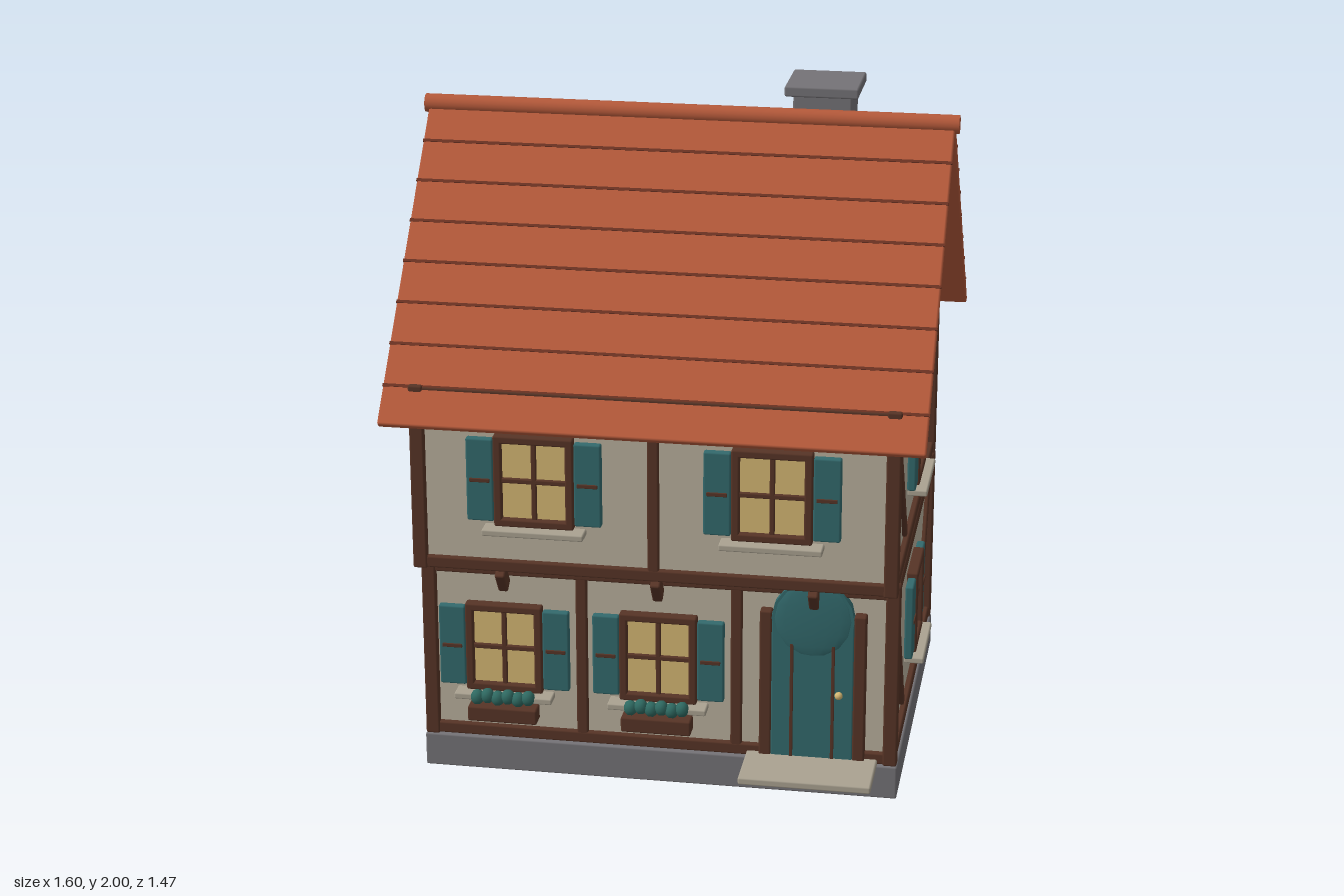
import * as THREE from 'three';
import { RoundedBoxGeometry } from 'three/addons/geometries/RoundedBoxGeometry.js';

const material = (name, color) => {
  const m = new THREE.MeshStandardMaterial({ color });
  m.name = name;
  return m;
};

export function createModel() {
  const plaster = material('plaster', 0xb9b09d);
  const timber = material('timber', 0x573426);
  const tile = material('roof tile', 0xb4593a);
  const groove = material('tile groove', 0x6b3222);
  const stone = material('stone', 0x757377);
  const paleStone = material('pale stone', 0xaaa291);
  const teal = material('teal paint', 0x336a6d);
  const glow = material('window glow', 0xd6b873);
  const leafGreen = material('leaf green', 0x2f6a62);

  const house = new THREE.Group();
  house.name = 'house';

  const add = (parent, name, geometry, mat, x = 0, y = 0, z = 0) => {
    const mesh = new THREE.Mesh(geometry, mat);
    mesh.name = name;
    mesh.position.set(x, y, z);
    parent.add(mesh);
    return mesh;
  };
  // Box with small softened edges, placed by its centre
  const box = (parent, name, mat, w, h, d, x, y, z) =>
    add(parent, name, new RoundedBoxGeometry(w, h, d, 1, Math.min(0.006, Math.min(w, h, d) / 4)), mat, x, y, z);
  // Box placed by its limits
  const span = (name, mat, x0, x1, y0, y1, z0, z1) =>
    box(house, name, mat, x1 - x0, y1 - y0, z1 - z0, (x0 + x1) / 2, (y0 + y1) / 2, (z0 + z1) / 2);

  // Foundation and doorstep
  span('foundation', stone, -0.715, 0.715, 0, 0.105, -0.575, 0.565);
  span('doorstep', paleStone, 0.265, 0.655, 0.1, 0.123, 0.53, 0.742);

  // Two timber-framed storeys, the upper one jutting out at the front
  const storeys = [
    { y0: 0.105, y1: 0.683, sill: 0.038, head: 0.048, front: 0.562, posts: [-0.232, 0.232] },
    { y0: 0.683, y1: 1.25, sill: 0.038, head: 0.04, front: 0.65, posts: [0] },
  ];
  const back = -0.577;
  for (const { y0, y1, sill, head, front, posts } of storeys) {
    span('storeyWall', plaster, -0.69, 0.69, y0, y1 - 0.01, back + 0.02, front - 0.02);
    for (const x of [-0.692, 0.692])
      for (const z of [front - 0.019, back + 0.019])
        box(house, 'cornerPost', timber, 0.042, y1 - y0, 0.042, x, (y0 + y1) / 2, z);
    for (const [a, b] of [[y0 + 0.002, y0 + sill], [y1 - head, y1 - 0.004]]) {
      span('frontRail', timber, -0.7, 0.7, a, b, front - 0.04, front - 0.003);
      span('backRail', timber, -0.7, 0.7, a, b, back + 0.003, back + 0.04);
      for (const s of [-1, 1]) {
        const x = s * 0.69;
        span('sideRail', timber, x - 0.018, x + 0.018, a, b, back + 0.01, front - 0.01);
      }
    }
    for (const x of posts) span('frontPost', timber, x - 0.017, x + 0.017, y0 + 0.01, y1 - 0.01, front - 0.04, front - 0.004);
  }

  // Diagonal braces on both side walls: top z, top y, foot z, foot y
  const braces = [
    [0.592, 1.193, 0.288, 0.737], [-0.522, 1.193, -0.218, 0.737],
    [0.512, 0.618, 0.242, 0.165], [-0.528, 0.618, -0.258, 0.165],
  ];
  for (const s of [-1, 1])
    for (const [z0, y0, z1, y1] of braces) {
      const brace = box(house, 'diagonalBrace', timber, 0.028, Math.hypot(z1 - z0, y1 - y0), 0.026,
        s * 0.69, (y0 + y1) / 2, (z0 + z1) / 2);
      brace.rotation.x = Math.atan2(z0 - z1, y0 - y1);
    }

  // Window facing +z with a frame, cross bars, shutters and a sill
  const addWindow = (x, y, z, turn, w, h, flowers) => {
    const g = new THREE.Group();
    g.name = 'window';
    g.position.set(x, y, z);
    g.rotation.y = turn;
    house.add(g);
    box(g, 'pane', glow, w - 0.02, h - 0.02, 0.008, 0, 0, 0.01);
    for (const s of [-1, 1]) {
      box(g, 'frameSide', timber, 0.024, h, 0.036, s * (w / 2 - 0.012), 0, 0.016);
      box(g, 'frameRail', timber, w, 0.024, 0.036, 0, s * (h / 2 - 0.012), 0.016);
      const sx = s * (w / 2 + 0.041);
      box(g, 'shutter', teal, 0.08, h - 0.025, 0.026, sx, 0, 0.016);
      box(g, 'shutterBatten', timber, 0.06, 0.012, 0.008, sx, 0, 0.029);
    }
    box(g, 'verticalBar', timber, 0.015, h - 0.03, 0.016, 0, 0, 0.016);
    box(g, 'crossBar', timber, w - 0.03, 0.015, 0.016, 0, 0, 0.016);
    box(g, 'sill', paleStone, w + 0.065, 0.02, 0.06, 0, -h / 2 - 0.012, 0.03);
    if (!flowers) return;
    box(g, 'flowerBox', timber, 0.21, 0.048, 0.055, 0, -h / 2 - 0.06, 0.048);
    for (let i = 0; i < 6; i++) {
      const leaf = add(g, 'leaves', new THREE.IcosahedronGeometry(0.021, 1), leafGreen,
        -0.078 + i * 0.031, -h / 2 - 0.012 + (i % 2) * 0.006, 0.054);
      leaf.scale.y = 1.15;
    }
  };
  for (const x of [-0.465, 0]) addWindow(x, 0.405, 0.542, 0, 0.232, 0.28, true);
  for (const x of [-0.347, 0.347]) addWindow(x, 0.975, 0.63, 0, 0.235, 0.28, false);
  for (const s of [-1, 1]) {
    addWindow(s * 0.69, 0.4, -0.005, s * Math.PI / 2, 0.215, 0.265, false);
    addWindow(s * 0.69, 0.97, 0.035, s * Math.PI / 2, 0.215, 0.27, false);
  }

  // Door with a domed head, plank grooves, jambs and knob
  const door = new THREE.Group();
  door.name = 'door';
  door.position.set(0.46, 0, 0.55);
  house.add(door);
  box(door, 'doorLeaf', teal, 0.245, 0.465, 0.035, 0, 0.347, 0.005);
  const arch = add(door, 'doorArch', new THREE.CylinderGeometry(0.122, 0.122, 0.035, 16, 1, false), teal, 0, 0.565, 0.005);
  arch.rotation.x = Math.PI / 2;
  const dome = add(door, 'archDome', new THREE.SphereGeometry(0.118, 16, 8), teal, 0, 0.565, 0.02);
  dome.scale.z = 0.09;
  for (const s of [-1, 1]) {
    box(door, 'plankGroove', timber, 0.01, 0.37, 0.008, s * 0.061, 0.302, 0.022);
    box(door, 'doorJamb', timber, 0.036, 0.475, 0.05, s * 0.139, 0.347, 0);
  }
  add(door, 'doorKnob', new THREE.SphereGeometry(0.012, 12, 8), glow, 0.08, 0.333, 0.033);

  // Tilted brackets beneath the overhang
  for (const x of [-0.463, 0, 0.463]) {
    const bracket = box(house, 'bracket', timber, 0.03, 0.085, 0.045, x, 0.636, 0.577);
    bracket.rotation.x = Math.PI / 5;
  }

  // Gable prism running the length of the attic
  const gableShape = new THREE.Shape([
    new THREE.Vector2(-0.595, 1.24), new THREE.Vector2(0.595, 1.24), new THREE.Vector2(0, 1.892),
  ]);
  const gable = add(house, 'gable', new THREE.ExtrudeGeometry(gableShape, { depth: 1.38, bevelEnabled: false }), plaster, -0.69, 0, -0.005);
  gable.rotation.y = Math.PI / 2;

  // Roof slopes with a groove between the tile courses
  const rise = 0.775, run = 0.73, slope = Math.hypot(rise, run);
  for (const turn of [0, Math.PI]) {
    const side = new THREE.Group();
    side.name = 'roofSide';
    side.position.set(0, 1.93, -0.005);
    side.rotation.y = turn;
    house.add(side);
    const pitch = new THREE.Group();
    pitch.name = 'roofPitch';
    pitch.rotation.x = Math.atan2(rise, run);
    side.add(pitch);
    box(pitch, 'roofSlope', tile, 1.575, 0.024, slope, 0, -0.012, slope / 2);
    for (let i = 1; i < 8; i++)
      add(pitch, 'courseGroove', new THREE.BoxGeometry(1.577, 0.006, 0.009), groove, 0, -0.001, 0.01 + i * slope / 8);
  }
  const ridge = add(house, 'ridgeCap', new THREE.CylinderGeometry(0.028, 0.028, 1.6, 16), tile, 0, 1.916, -0.005);
  ridge.rotation.z = Math.PI / 2;

  // Chimney
  span('chimneyStack', stone, 0.3, 0.475, 1.6, 1.975, -0.237, -0.067);
  span('chimneyCap', stone, 0.277, 0.497, 1.968, 2.0, -0.262, -0.042);

  return house;
}
